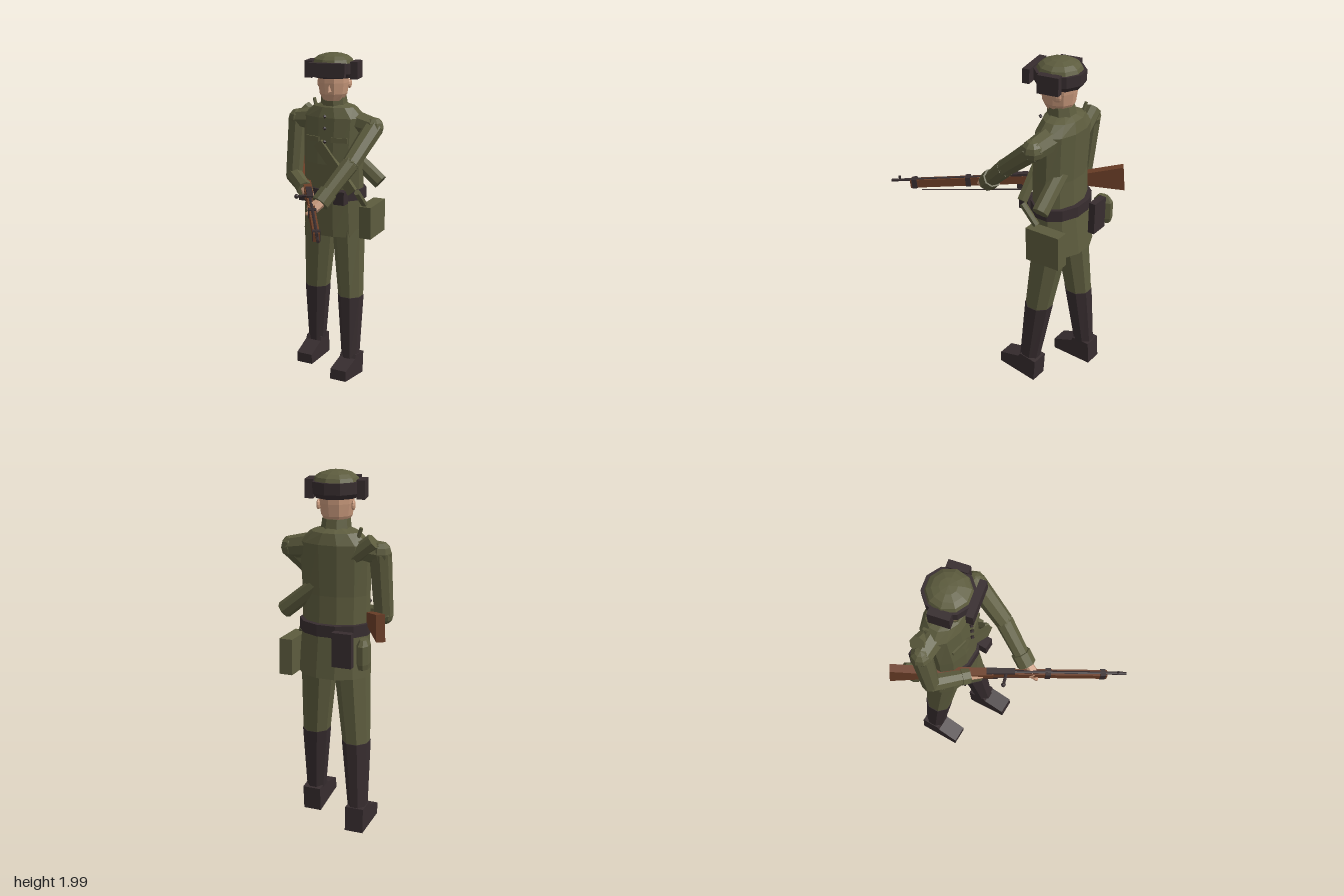
import * as THREE from 'three';

const paint = (name, color) => {
  const m = new THREE.MeshStandardMaterial({ color, flatShading: true });
  m.name = name;
  return m;
};

export function createModel() {
  const olive = paint('olive cloth', 0x5d5c3e);
  const dark = paint('dark leather', 0x372d2f);
  const wood = paint('walnut wood', 0x6b3e27);
  const skin = paint('skin', 0xc6977a);
  const model = new THREE.Group();
  model.name = 'soldier';
  const V = (p) => new THREE.Vector3(...p);

  const add = (name, geo, mat, parent = model) => {
    const mesh = new THREE.Mesh(geo, mat);
    mesh.name = name;
    parent.add(mesh);
    return mesh;
  };
  const box = (name, size, pos, mat, parent = model) => {
    const mesh = add(name, new THREE.BoxGeometry(...size), mat, parent);
    mesh.position.set(...pos);
    return mesh;
  };
  const ball = (name, r, pos, mat, parent = model) => {
    const mesh = add(name, new THREE.SphereGeometry(r, 8, 6), mat, parent);
    mesh.position.set(...pos);
    return mesh;
  };
  // Tapered cylinder from point a to point b
  const rod = (name, a, b, ra, rb, mat, n = 8, parent = model) => {
    const A = V(a), B = V(b), d = B.clone().sub(A);
    const mesh = add(name, new THREE.CylinderGeometry(rb, ra, d.length(), n), mat, parent);
    mesh.position.copy(A).add(B).multiplyScalar(0.5);
    mesh.quaternion.setFromUnitVectors(new THREE.Vector3(0, 1, 0), d.normalize());
    return mesh;
  };
  // Capped skin over elliptical rings [y, rx, rz, cx, cz]
  const loft = (name, rings, n, mat, parent = model) => {
    const pos = [], idx = [];
    for (const [y, rx, rz, cx, cz] of rings)
      for (let i = 0; i < n; i++) {
        const t = ((i + 0.5) / n) * Math.PI * 2;
        pos.push(cx + rx * Math.sin(t), y, cz + rz * Math.cos(t));
      }
    for (let k = 0; k < rings.length - 1; k++)
      for (let i = 0; i < n; i++) {
        const a = k * n + i, b = k * n + ((i + 1) % n);
        idx.push(a, b, b + n, a, b + n, a + n);
      }
    const top = (rings.length - 1) * n;
    for (let i = 1; i < n - 1; i++) idx.push(0, i + 1, i, top, top + i, top + i + 1);
    const geo = new THREE.BufferGeometry();
    geo.setAttribute('position', new THREE.Float32BufferAttribute(pos, 3));
    geo.setIndex(idx);
    geo.computeVertexNormals();
    return add(name, geo, mat, parent);
  };
  // Side profile in (z, y), extruded to a width along x
  const slab = (name, pts, width, mat, parent = model) => {
    const shape = new THREE.Shape(pts.map(([x, y]) => new THREE.Vector2(x, y)));
    const geo = new THREE.ExtrudeGeometry(shape, { depth: width, bevelEnabled: false });
    geo.translate(0, 0, -width / 2).rotateY(-Math.PI / 2);
    return add(name, geo, mat, parent);
  };

  const cx = -0.02;

  // Legs in mid stride, left foot forward
  for (const [side, s, ankleZ, pitch] of [['left', 1, -0.28, -0.13], ['right', -1, -0.46, 0]]) {
    const midZ = (ankleZ - 0.37) / 2;
    loft(side + 'Trouser', [
      [0.52, 0.077, 0.08, cx + s * 0.137, midZ],
      [0.95, 0.1, 0.105, cx + s * 0.095, -0.37]], 8, olive);
    loft(side + 'BootShaft', [
      [0.1, 0.052, 0.06, cx + s * 0.163, ankleZ],
      [0.525, 0.08, 0.083, cx + s * 0.137, midZ]], 8, dark);
    const boot = slab(side + 'Boot', [[-0.07, 0], [0.18, 0], [0.185, 0.065],
      [0.06, 0.115], [0.05, 0.14], [-0.06, 0.14]], 0.105, dark);
    boot.position.set(cx + s * 0.163, 0.015, ankleZ);
    boot.rotation.x = pitch;
  }

  // Tunic, belt and collar
  loft('tunicSkirt', [
    [0.905, 0.205, 0.15, cx, -0.385],
    [1.15, 0.19, 0.135, cx, -0.365]], 12, olive);
  loft('tunicBody', [
    [1.13, 0.188, 0.132, cx, -0.36],
    [1.35, 0.19, 0.126, cx, -0.352],
    [1.625, 0.2, 0.118, cx, -0.365],
    [1.685, 0.135, 0.1, cx, -0.365],
    [1.705, 0.07, 0.07, cx, -0.355]], 12, olive);
  loft('belt', [
    [1.135, 0.203, 0.152, cx, -0.365],
    [1.2, 0.203, 0.152, cx, -0.365]], 12, dark);
  loft('collar', [
    [1.67, 0.085, 0.085, cx, -0.355],
    [1.75, 0.075, 0.075, cx, -0.345]], 8, olive);
  for (const y of [1.64, 1.57, 1.49]) {
    const button = add('button', new THREE.OctahedronGeometry(0.013), dark);
    button.position.set(cx + 0.005, y, -0.217);
  }
  for (const s of [-1, 1]) {
    const flap = box('chestPocketFlap', [0.1, 0.03, 0.009], [cx + s * 0.088, 1.5, -0.242], olive);
    flap.rotation.y = s * 0.22;
    box('ammoPouch', [0.07, 0.08, 0.06], [cx + s * 0.115, 1.165, -0.215], dark);
  }

  // Bedroll slung across the back, chest strap and hip tool
  rod('bedroll', [-0.25, 1.65, -0.405], [0.26, 1.235, -0.42], 0.045, 0.048, olive);
  const strap = box('chestStrap', [0.06, 0.36, 0.03], [0.05, 1.34, -0.232], olive);
  strap.rotation.z = 0.69;
  rod('hipToolHandle', [0.185, 1.2, -0.25], [0.19, 1.1, -0.35], 0.02, 0.02, olive, 6);
  rod('shoulderPeg', [-0.15, 1.63, -0.39], [-0.18, 1.715, -0.4], 0.012, 0.01, olive, 6);

  // Satchel, canteen and rear pouch
  const satchel = box('satchel', [0.075, 0.2, 0.215], [0.207, 1.0, -0.425], olive);
  satchel.rotation.x = 0.04;
  const canteen = loft('canteen', [
    [0.99, 0.03, 0.05, 0, 0], [1.02, 0.035, 0.06, 0, 0],
    [1.12, 0.035, 0.06, 0, 0], [1.15, 0.02, 0.035, 0, 0]], 8, olive);
  canteen.position.set(-0.235, 0, -0.51);
  box('rearPouch', [0.11, 0.19, 0.04], [-0.125, 1.085, -0.537], dark);

  // Head with cap, turned slightly to the left
  const head = new THREE.Group();
  head.name = 'head';
  head.position.set(cx + 0.003, 0, -0.333);
  head.rotation.y = 0.2;
  model.add(head);
  loft('face', [
    [1.725, 0.06, 0.07, 0, 0], [1.765, 0.085, 0.09, 0, 0],
    [1.83, 0.095, 0.098, 0, 0], [1.9, 0.095, 0.098, 0, 0]], 10, skin, head);
  const nose = add('nose', new THREE.ConeGeometry(0.016, 0.045, 4), skin, head);
  nose.position.set(0, 1.805, 0.1);
  for (const s of [-1, 1]) {
    const ear = ball('ear', 0.028, [s * 0.093, 1.82, -0.025], skin, head);
    ear.scale.x = 0.4;
  }
  loft('capBand', [
    [1.86, 0.118, 0.125, 0, 0], [1.885, 0.137, 0.142, 0, 0],
    [1.945, 0.137, 0.142, 0, 0]], 10, dark, head);
  const dome = add('capCrown',
    new THREE.SphereGeometry(0.125, 10, 4, 0, Math.PI * 2, 0, Math.PI / 2), olive, head);
  dome.scale.y = 0.46;
  dome.position.y = 1.943;
  box('capFrontFlap', [0.215, 0.08, 0.04], [0, 1.913, 0.145], dark, head);
  for (const s of [-1, 1])
    box('capEarFlap', [0.045, 0.1, 0.12], [s * 0.137, 1.905, 0], dark, head);

  // Right arm, bent with the hand on the grip
  const rs = [-0.275, 1.585, -0.37], re = [-0.285, 1.24, -0.335], rw = [-0.125, 1.195, -0.185];
  rod('rightShoulder', [-0.14, 1.6, -0.37], rs, 0.07, 0.06, olive);
  ball('rightShoulderCap', 0.062, rs, olive);
  rod('rightUpperArm', rs, re, 0.06, 0.052, olive);
  ball('rightElbow', 0.053, re, olive);
  rod('rightForearm', re, rw, 0.052, 0.042, olive);
  rod('rightCuff', [-0.16, 1.205, -0.217], rw, 0.05, 0.05, olive);
  rod('rightHand', rw, [-0.075, 1.185, -0.135], 0.03, 0.034, skin, 6);

  // Left arm, reaching forward to the fore end
  const ls = [0.24, 1.575, -0.35], le = [0.19, 1.39, -0.14], lw = [0.105, 1.205, 0.05];
  rod('leftShoulder', [0.1, 1.6, -0.37], ls, 0.07, 0.06, olive);
  ball('leftShoulderCap', 0.062, ls, olive);
  rod('leftUpperArm', ls, le, 0.06, 0.052, olive);
  ball('leftElbow', 0.052, le, olive);
  rod('leftForearm', le, lw, 0.052, 0.044, olive);
  rod('leftCuff', [0.125, 1.25, 0.005], [0.1, 1.195, 0.06], 0.056, 0.056, olive);
  rod('leftHand', lw, [0.075, 1.165, 0.125], 0.032, 0.034, skin, 6);
  for (let i = 0; i < 3; i++)
    rod('leftFinger', [0.095, 1.155, 0.1 + i * 0.018], [0.055, 1.15, 0.11 + i * 0.018],
      0.011, 0.011, skin, 5);

  // Rifle, built along its own +z from the butt
  const rifle = new THREE.Group();
  rifle.name = 'rifle';
  rifle.position.set(-0.345, 1.275, -0.565);
  rifle.lookAt(0.357, 1.145, 0.575);
  model.add(rifle);
  slab('rifleStock', [[0, -0.11], [0.3, -0.055], [0.42, -0.05], [0.58, -0.05],
    [0.58, 0], [0.4, 0], [0.3, -0.005], [0, 0.035]], 0.048, wood, rifle);
  box('foreStock', [0.036, 0.048, 0.66], [0, -0.022, 0.9], wood, rifle);
  box('receiver', [0.034, 0.036, 0.16], [0, -0.002, 0.62], dark, rifle);
  box('magazine', [0.03, 0.035, 0.12], [0, -0.06, 0.55], dark, rifle);
  rod('boltHandle', [0, 0, 0.655], [-0.075, -0.01, 0.635], 0.009, 0.009, dark, 6, rifle);
  ball('boltKnob', 0.014, [-0.075, -0.01, 0.635], dark, rifle);
  rod('barrel', [0, 0, 0.6], [0, 0, 1.34], 0.01, 0.009, dark, 6, rifle);
  for (const z of [0.89, 1.205]) box('barrelBand', [0.044, 0.056, 0.03], [0, -0.02, z], dark, rifle);
  rod('sling', [0, -0.1, 0.37], [0, -0.07, 1.17], 0.004, 0.004, dark, 4, rifle);
  box('frontSight', [0.008, 0.025, 0.012], [0, 0.015, 1.29], dark, rifle);

  return model;
}
